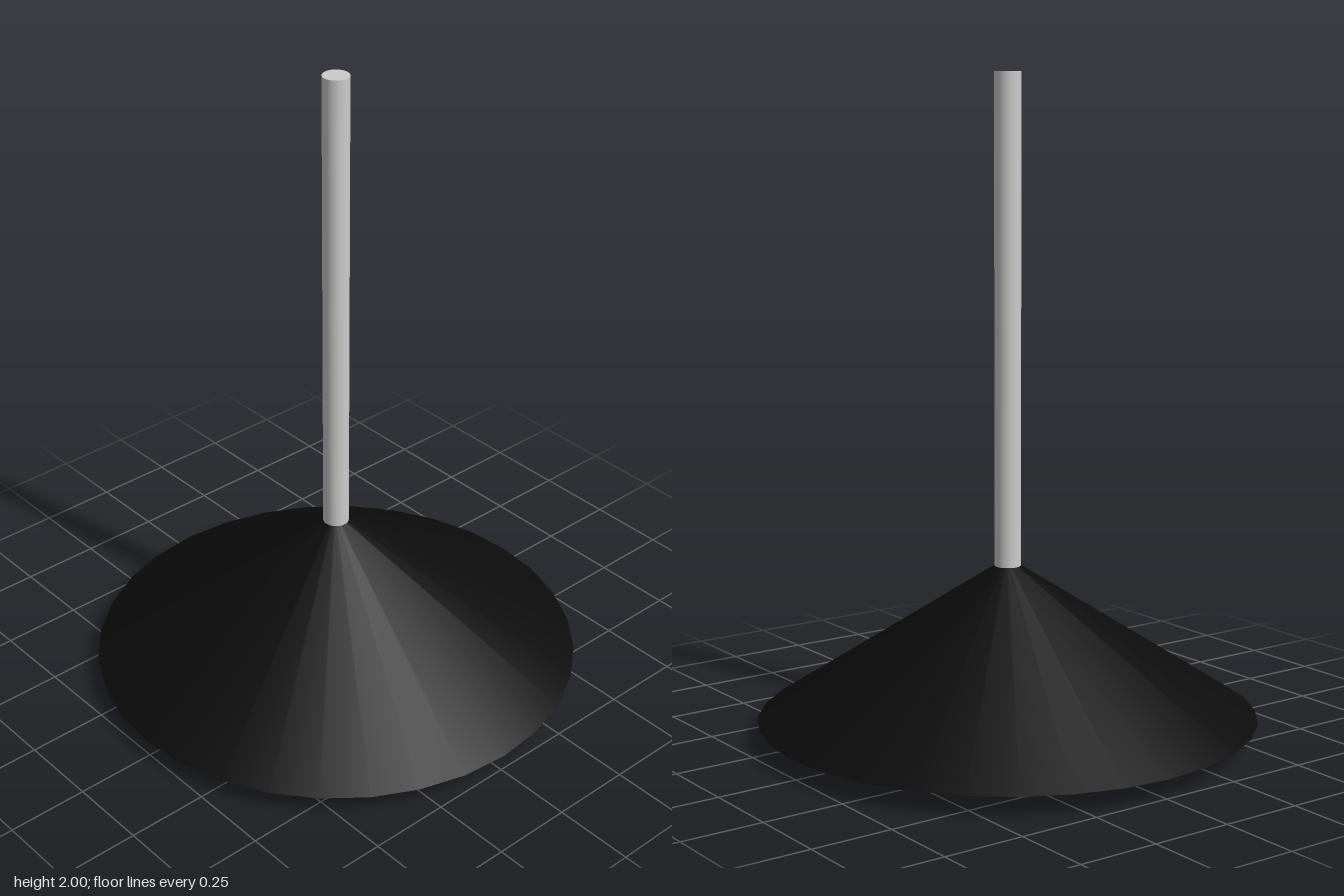
import * as THREE from 'three';
import { toCreasedNormals } from 'three/addons/utils/BufferGeometryUtils.js';

const SEGMENTS = 32;

export function createModel() {
  const lamp = new THREE.Group();
  lamp.name = 'pendantLamp';

  const addPart = (name, geometry, color, y = 0, side = THREE.FrontSide) => {
    const mesh = new THREE.Mesh(geometry, new THREE.MeshStandardMaterial({ color, side }));
    mesh.name = name;
    mesh.position.y = y;
    lamp.add(mesh);
  };

  // Conical shade with a hollow underside and a flat rim
  const profile = [
    [0, 0.49], [0.04, 0.49], [0.67, 0.06], // inside
    [0.76, 0.06], [0.04, 0.525], [0, 0.525], // rim and outside
  ].map(([r, y]) => new THREE.Vector2(r, y));
  const shade = toCreasedNormals(new THREE.LatheGeometry(profile, SEGMENTS), Math.PI / 7);
  addPart('shade', shade, 0x0c0c0c, 0, THREE.DoubleSide);

  // Straight hanging rod
  const rodBottom = 0.52, rodTop = 2;
  const rod = new THREE.CylinderGeometry(0.04, 0.04, rodTop - rodBottom, SEGMENTS);
  addPart('rod', rod, 0xcccccc, (rodTop + rodBottom) / 2);

  // Round bulb peeking out below the rim
  addPart('bulb', new THREE.SphereGeometry(0.225, SEGMENTS, 24), 0xe6d00f, 0.225);

  return lamp;
}
